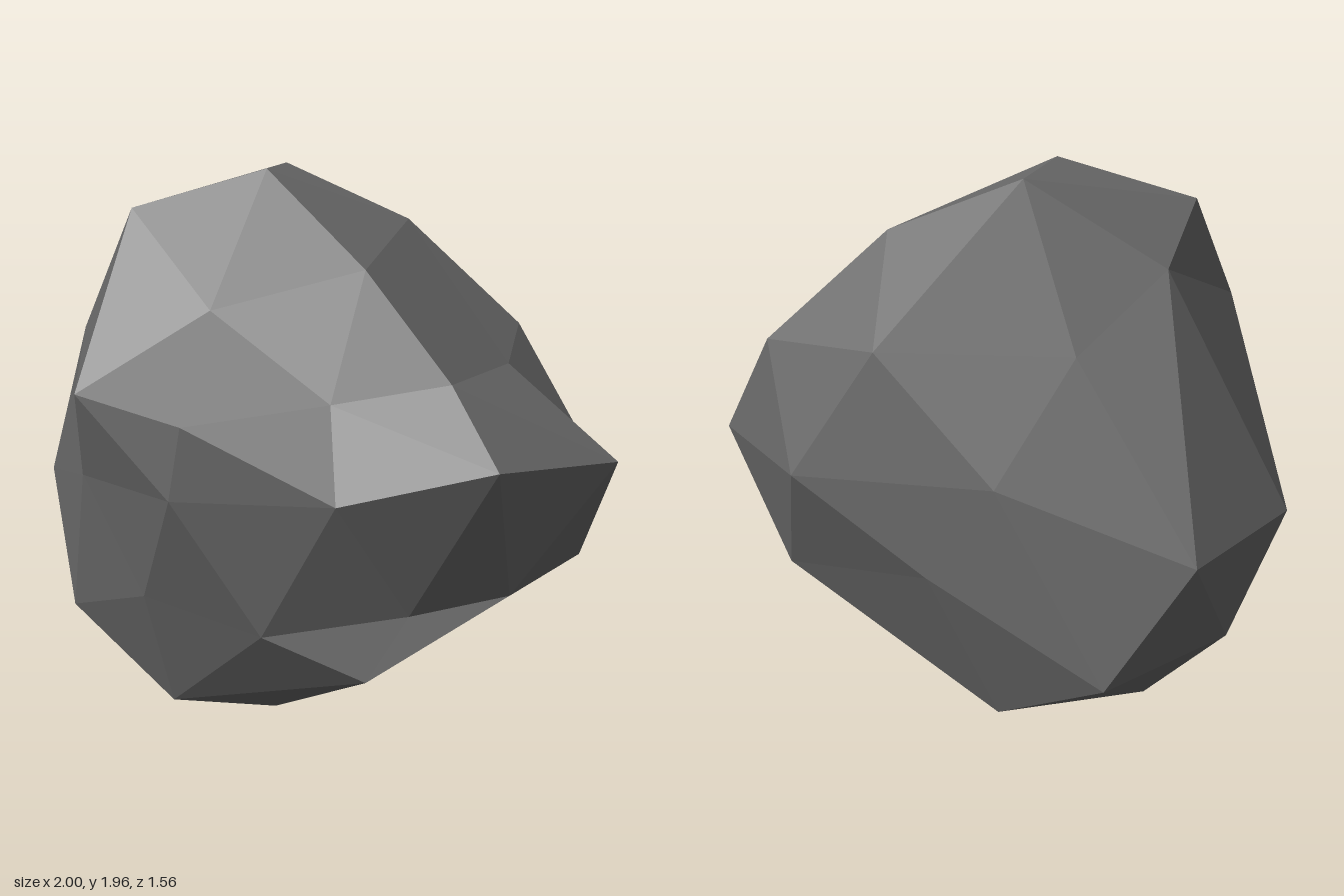
import * as THREE from 'three';

// Vertex rings of the boulder, each running round from +x towards +z.
const peak = [[-0.17, 1.94, 0.12]];
const crown = [
  [0.34, 1.63, 0.32], [-0.15, 1.49, 0.48], [-0.54, 1.81, 0.39], [-0.35, 1.96, -0.27], [0.08, 1.76, -0.42],
];
const shoulder = [
  [0.65, 1.29, 0.32], [0.31, 1.22, 0.48], [-0.05, 1.16, 0.78], [-0.51, 1.22, 0.74], [-0.54, 1.43, 0.64],
  [-0.71, 1.69, -0.01], [-0.58, 1.45, -0.29], [-0.04, 1.43, -0.62], [0.42, 1.38, -0.65], [0.58, 1.29, -0.23],
];
const waist = [
  [0.88, 1.06, 0.45], [0.41, 0.93, 0.61], [-0.1, 0.92, 0.78], [-0.6, 0.92, 0.61], [-1, 0.85, 0.32],
  [-1, 0.84, -0.21], [-0.44, 1.04, -0.51], [0.19, 1, -0.78], [0.69, 0.99, -0.62], [1, 1, -0.19],
];
const lower = [
  [0.8, 0.61, 0.19], [0.53, 0.54, 0.36], [0.13, 0.47, 0.61], [-0.33, 0.54, 0.63], [-0.78, 0.4, 0.47],
  [-0.95, 0.47, 0.07], [-0.78, 0.39, -0.37], [-0.23, 0.7, -0.6], [0.41, 0.55, -0.61], [0.8, 0.62, -0.37],
];
const base = [
  [0.43, 0.33, 0.46], [-0.33, 0.13, 0.48], [-0.64, 0.13, 0.06], [-0.34, 0.13, -0.37], [0.41, 0.35, -0.09],
];
const foot = [[-0.19, 0, 0.06]];

function buildRock() {
  const points = [];
  const at = (ring, i) => ring[(i + ring.length) % ring.length];
  const face = (a, b, c) => points.push(...a, ...b, ...c);

  // Five-sided caps and the bands joining them to the ten-sided rings
  for (let i = 0; i < 5; i++) {
    const c = at(crown, i), cNext = at(crown, i + 1);
    const s = 2 * i;
    face(peak[0], cNext, c);
    face(c, at(shoulder, s + 1), at(shoulder, s));
    face(c, at(shoulder, s), at(shoulder, s - 1));
    face(c, cNext, at(shoulder, s + 1));

    const b = at(base, i), bNext = at(base, i + 1);
    const l = 2 * i + 1;
    face(b, bNext, foot[0]);
    face(at(lower, l), at(lower, l + 1), b);
    face(at(lower, l - 1), at(lower, l), b);
    face(at(lower, l + 1), bNext, b);
  }

  // Zigzag bands either side of the waist
  for (let k = 0; k < 10; k++) {
    const w = at(waist, k), wNext = at(waist, k + 1);
    face(at(shoulder, k), at(shoulder, k + 1), w);
    face(at(shoulder, k + 1), wNext, w);
    face(w, wNext, at(lower, k + 1));
    face(w, at(lower, k + 1), at(lower, k));
  }

  // Unshared corners give each facet its own flat normal
  const geometry = new THREE.BufferGeometry();
  geometry.setAttribute('position', new THREE.Float32BufferAttribute(points, 3));
  geometry.computeVertexNormals();
  return geometry;
}

export function createModel() {
  const stone = new THREE.MeshStandardMaterial({ color: 0x6a6a6a });
  stone.name = 'grey stone';
  const rock = new THREE.Mesh(buildRock(), stone);
  rock.name = 'rock';
  const group = new THREE.Group();
  group.name = 'boulder';
  group.add(rock);
  return group;
}
